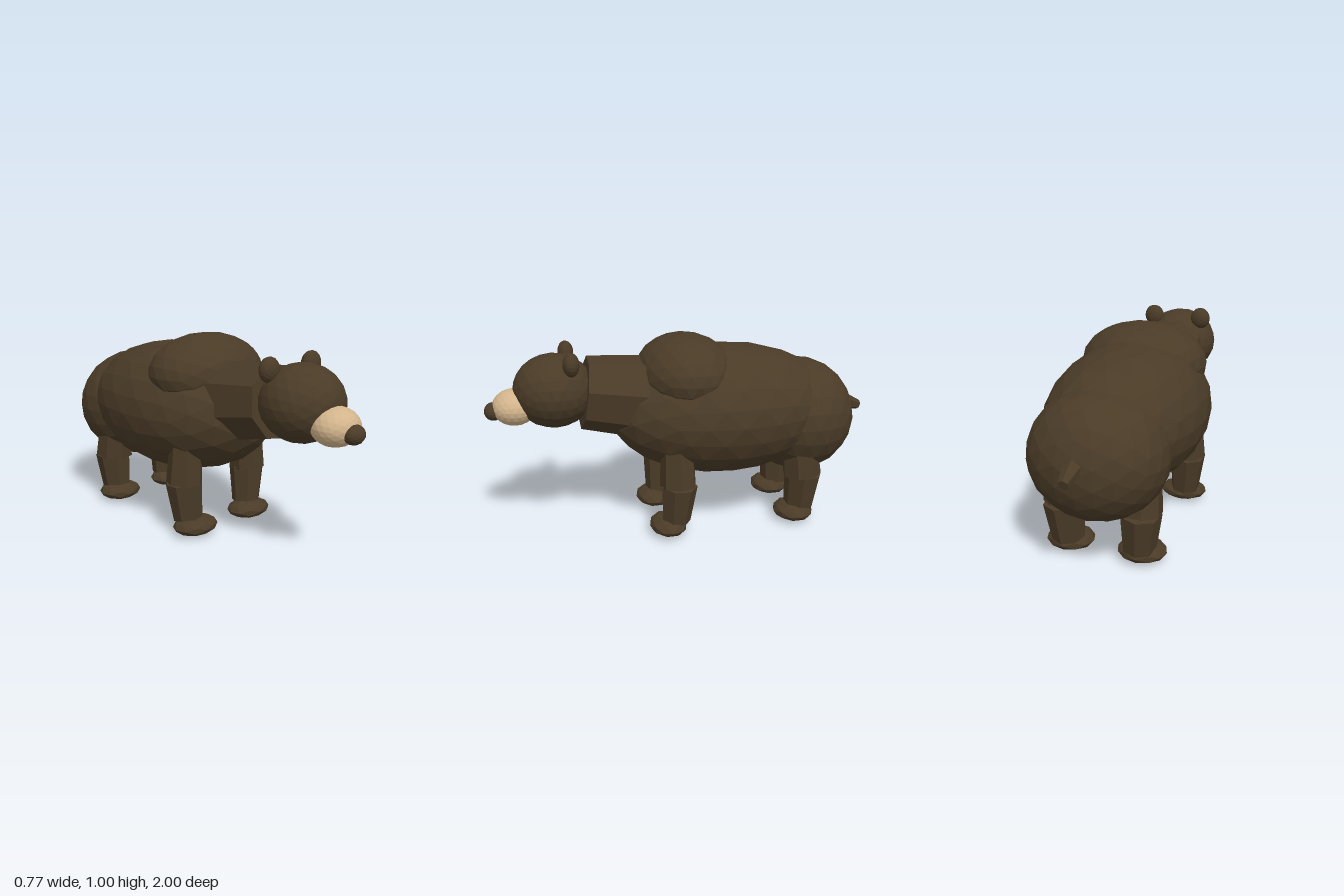
import * as THREE from 'three';

export function createModel() {
  const bear = new THREE.Group();
  bear.name = 'bear';

  const fur = new THREE.MeshStandardMaterial({ color: 0x4a3b27 });
  fur.name = 'dark brown fur';
  const tan = new THREE.MeshStandardMaterial({ color: 0xd2b48c });
  tan.name = 'tan muzzle';
  fur.flatShading = tan.flatShading = true;

  // Faceted ellipsoid: centre and three radii
  function blob(name, centre, radii, detail = 3, material = fur) {
    const geometry = new THREE.IcosahedronGeometry(1, detail);
    geometry.scale(...radii);
    const mesh = new THREE.Mesh(geometry, material);
    mesh.name = name;
    mesh.position.set(...centre);
    bear.add(mesh);
    return mesh;
  }

  // Tapered prism running from one point to another
  function limb(name, from, to, r0, r1, sides, twist = 0) {
    const a = new THREE.Vector3(...from);
    const b = new THREE.Vector3(...to);
    const axis = b.clone().sub(a);
    const geometry = new THREE.CylinderGeometry(r1, r0, axis.length(), sides);
    geometry.rotateY(twist);
    const mesh = new THREE.Mesh(geometry, fur);
    mesh.name = name;
    mesh.position.copy(a).add(b).multiplyScalar(0.5);
    mesh.quaternion.setFromUnitVectors(new THREE.Vector3(0, 1, 0), axis.normalize());
    bear.add(mesh);
    return mesh;
  }

  // Trunk
  blob('body', [0, 0.6, -0.21], [0.385, 0.335, 0.6]);
  blob('rump', [0, 0.535, -0.62], [0.33, 0.302, 0.3]);
  blob('shoulderHump', [0, 0.8, 0], [0.322, 0.2, 0.25]);
  limb('tail', [0, 0.59, -0.86], [0, 0.548, -0.993], 0.055, 0.025, 6);

  // Neck and head
  limb('neck', [0, 0.675, 0.15], [0, 0.728, 0.515], 0.217, 0.183, 8, 0.25);
  blob('head', [0, 0.75, 0.66], [0.2, 0.183, 0.2]);
  blob('muzzle', [0, 0.68, 0.853], [0.117, 0.09, 0.11], 3, tan);
  blob('nose', [0, 0.664, 0.955], [0.056, 0.045, 0.045], 2);

  // Ears and legs, mirrored left and right
  for (const s of [1, -1]) {
    const side = s > 0 ? 'Left' : 'Right';
    blob('ear' + side, [s * 0.137, 0.905, 0.583], [0.055, 0.059, 0.04], 2);

    limb('frontUpperLeg' + side, [s * 0.205, 0.47, 0.085], [s * 0.217, 0.27, 0.085], 0.085, 0.094, 7, s * 0.3);
    limb('frontLowerLeg' + side, [s * 0.218, 0.272, 0.082], [s * 0.203, 0.075, 0.095], 0.094, 0.074, 7, s * 0.3);
    blob('frontPaw' + side, [s * 0.186, 0.048, 0.132], [0.125, 0.048, 0.096], 1);

    limb('hindUpperLeg' + side, [s * 0.19, 0.45, -0.57], [s * 0.19, 0.26, -0.592], 0.088, 0.102, 7, s * 0.3);
    limb('hindLowerLeg' + side, [s * 0.19, 0.262, -0.602], [s * 0.178, 0.07, -0.59], 0.1, 0.08, 7, s * 0.3);
    blob('hindPaw' + side, [s * 0.182, 0.048, -0.555], [0.12, 0.048, 0.105], 1);
  }

  return bear;
}
